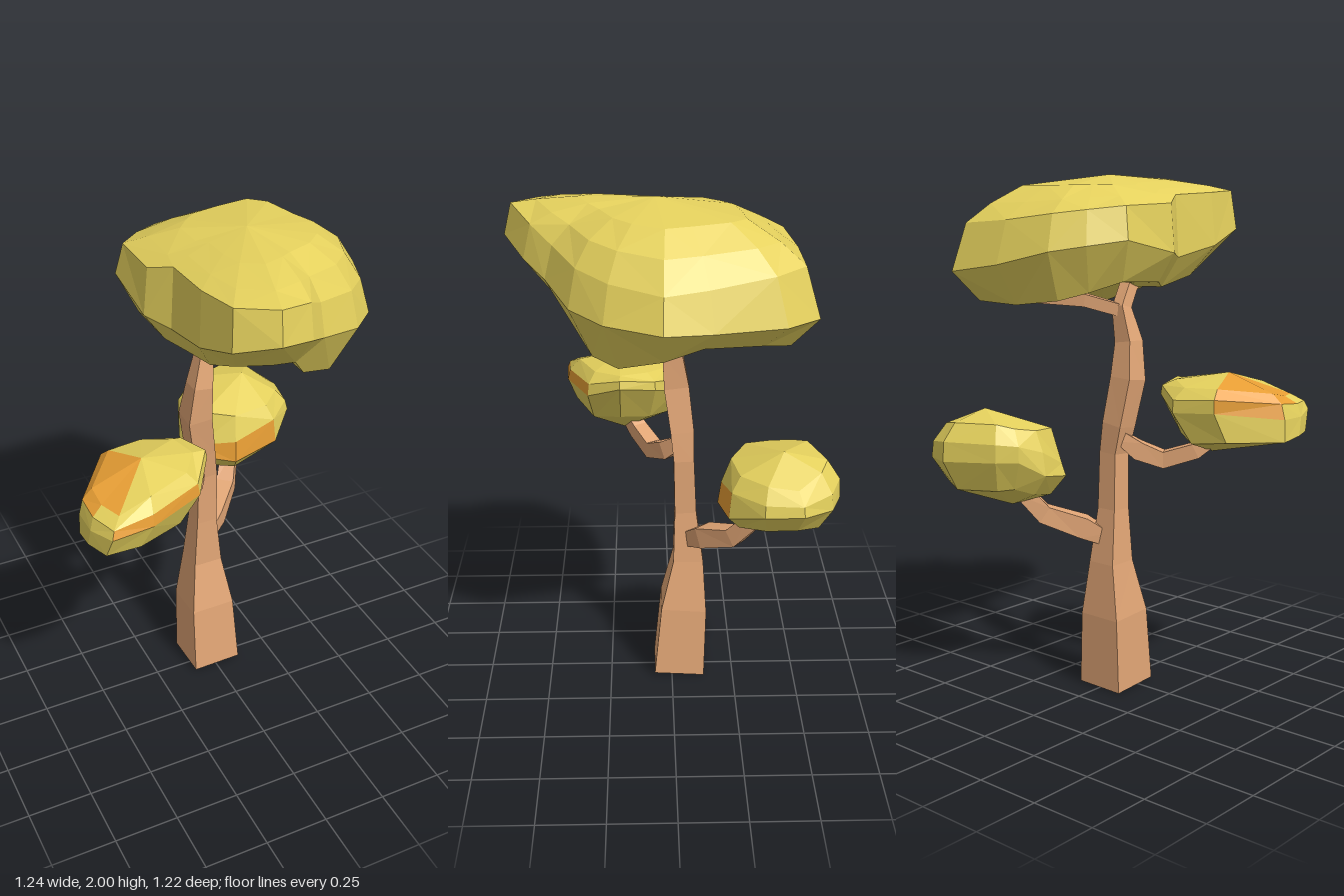
import * as THREE from 'three';

const bark = new THREE.MeshStandardMaterial({ color: 0xe2a676 });
bark.name = 'bark';
const leaf = new THREE.MeshStandardMaterial({ color: 0xe5d15d });
leaf.name = 'leaf';
const autumn = new THREE.MeshStandardMaterial({ color: 0xeda236 });
autumn.name = 'autumn leaf';

// Faceted surface through rings ordered from bottom to top; a ring may be a single point.
// accent(row, column) picks the quads that take the second material.
function loft(name, rings, materials, accent = () => false) {
  const n = Math.max(...rings.map((r) => r.length));
  const at = (j, i) => rings[j][i % rings[j].length];
  const faces = [[], []];
  for (let j = 0; j < rings.length - 1; j++) {
    for (let i = 0; i < n; i++) {
      const a = at(j, i), b = at(j + 1, i), c = at(j + 1, i + 1), d = at(j, i + 1);
      const tris = (i + j) % 2 ? [[a, b, c], [a, c, d]] : [[a, b, d], [b, c, d]];
      for (const t of tris) {
        if (t[0] === t[1] || t[1] === t[2] || t[0] === t[2]) continue;
        faces[accent(j, i) ? 1 : 0].push(...t);
      }
    }
  }
  const geometry = new THREE.BufferGeometry().setFromPoints([...faces[0], ...faces[1]]);
  geometry.addGroup(0, faces[0].length, 0);
  if (faces[1].length) geometry.addGroup(faces[0].length, faces[1].length, 1);
  geometry.computeVertexNormals();
  const mesh = new THREE.Mesh(geometry, materials);
  mesh.name = name;
  return mesh;
}

// Four-sided limb along [x, y, z, radius] stations
function limb(name, stations, ref) {
  const pts = stations.map(([x, y, z]) => new THREE.Vector3(x, y, z));
  const last = pts.length - 1;
  const rings = pts.map((p, j) => {
    const t = pts[Math.min(j + 1, last)].clone().sub(pts[Math.max(j - 1, 0)]).normalize();
    const u = new THREE.Vector3().crossVectors(ref, t).normalize();
    const v = new THREE.Vector3().crossVectors(t, u);
    return [0, 1, 2, 3].map((k) => {
      const a = Math.PI / 4 - (k * Math.PI) / 2, r = stations[j][3];
      return p.clone().addScaledVector(u, r * Math.cos(a)).addScaledVector(v, r * Math.sin(a));
    });
  });
  return loft(name, [[pts[0]], ...rings, [pts[last]]], [bark]);
}

// Foliage clump: plan outline [x, z, ...heights], rings shrunk about the centre.
// levels: [scale, height function of an outline row, sideways shift]
function clump(name, outline, [cx, cz], bottom, top, levels, accent) {
  const rings = levels.map(([s, height, shift = 0], j) => outline.map((row, i) => {
    const wobble = s === 1 ? 0 : Math.sin(i * 12.9 + j * 7.3);
    const k = s + 0.03 * wobble;
    return new THREE.Vector3(cx + shift + (row[0] - cx) * k, height(row) + 0.012 * wobble, cz + (row[1] - cz) * k);
  }));
  const ends = [bottom, top].map((p) => [new THREE.Vector3(...p)]);
  return loft(name, [ends[0], ...rings, ends[1]], [leaf, autumn], accent);
}

export function createModel() {
  const group = new THREE.Group();
  group.name = 'tree';
  const up = new THREE.Vector3(0, 1, 0), forward = new THREE.Vector3(0, 0, 1);

  // Trunk, bending forward into the hollow of the crown
  group.add(limb('trunk', [
    [0, 0.008, -0.03, 0.142], [-0.006, 0.3, -0.048, 0.128], [-0.006, 0.51, -0.066, 0.084],
    [-0.008, 0.72, -0.055, 0.06], [-0.006, 0.94, -0.048, 0.056], [-0.025, 1.05, -0.042, 0.064],
    [-0.053, 1.23, -0.02, 0.068], [-0.043, 1.37, -0.004, 0.054], [-0.017, 1.5, -0.015, 0.038],
    [-0.005, 1.58, 0.04, 0.036], [0, 1.7, 0.19, 0.032],
  ], forward));

  // Branches
  group.add(limb('leftBranch', [
    [0.01, 0.6, -0.07, 0.04], [0.08, 0.645, -0.13, 0.058], [0.19, 0.7, -0.24, 0.05], [0.25, 0.82, -0.33, 0.045],
  ], up));
  group.add(limb('rightBranch', [
    [-0.025, 1.01, -0.05, 0.035], [-0.08, 0.95, 0.01, 0.05], [-0.16, 0.915, 0.07, 0.045],
    [-0.27, 0.955, 0.13, 0.042], [-0.34, 1.02, 0.18, 0.036],
  ], up));
  group.add(limb('crownBranch', [
    [-0.01, 1.49, -0.02, 0.033], [0.1, 1.525, -0.09, 0.034], [0.26, 1.535, -0.17, 0.034], [0.42, 1.58, -0.22, 0.03],
  ], up));

  // Crown: x, z, low, middle and shoulder heights
  const crown = [
    [-0.26, -0.26, 1.6, 1.76, 1.88], [-0.16, -0.37, 1.56, 1.74, 1.87], [-0.05, -0.45, 1.53, 1.72, 1.86],
    [0.17, -0.49, 1.51, 1.67, 1.84], [0.4, -0.5, 1.52, 1.64, 1.83], [0.5, -0.38, 1.55, 1.64, 1.82],
    [0.56, -0.13, 1.56, 1.64, 1.79], [0.61, 0.04, 1.53, 1.65, 1.78], [0.52, 0.24, 1.485, 1.66, 1.8],
    [0.4, 0.36, 1.5, 1.68, 1.82], [0.21, 0.45, 1.56, 1.73, 1.85], [0.12, 0.53, 1.65, 1.78, 1.9],
    [-0.04, 0.61, 1.7, 1.83, 1.94], [-0.17, 0.51, 1.68, 1.79, 1.93], [-0.2, 0.33, 1.62, 1.73, 1.92],
    [-0.2, 0.1, 1.58, 1.69, 1.91], [-0.26, 0, 1.6, 1.71, 1.88],
  ];
  group.add(clump('crown', crown, [0.13, 0.02], [0.1, 1.605, 0.03], [0.11, 2, 0.06], [
    [0.48, (r) => 0.45 + r[2] * 0.72], [0.8, (r) => r[2]], [1, (r) => r[3]], [0.93, (r) => r[4]],
    [0.76, (r) => 1.92 + (r[4] - 1.87) * 0.5], [0.52, (r) => 1.965 + (r[4] - 1.87) * 0.25],
  ]));

  // Lower clump on the left: x, z, low, middle, band and shoulder heights; autumn patch in front
  const lower = [
    [0.08, -0.48, 0.84, 0.95, 1.0, 1.07], [0.14, -0.54, 0.83, 0.95, 1.01, 1.09], [0.35, -0.61, 0.82, 0.94, 1.01, 1.09],
    [0.46, -0.57, 0.84, 0.94, 1.0, 1.08], [0.54, -0.46, 0.86, 0.95, 0.99, 1.04], [0.52, -0.32, 0.85, 0.94, 0.99, 1.05],
    [0.4, -0.2, 0.82, 0.88, 0.99, 1.05], [0.2, -0.17, 0.785, 0.85, 0.95, 1.05], [0.06, -0.25, 0.79, 0.87, 0.93, 1.06],
    [0.04, -0.38, 0.81, 0.89, 0.99, 1.06],
  ];
  group.add(clump('leftClump', lower, [0.28, -0.38], [0.25, 0.748, -0.35], [0.34, 1.12, -0.4], [
    [0.75, (r) => r[2]], [1, (r) => r[3]], [0.97, (r) => r[4]], [0.8, (r) => r[5]],
  ], (j, i) => j === 2 && (i === 6 || i === 7)));

  // Higher clump on the right, with an autumn band in front and a patch on top
  const upper = [
    [-0.45, 0, 1.02, 1.13, 1.17, 1.215], [-0.28, -0.03, 1.0, 1.12, 1.16, 1.215], [-0.15, 0.06, 1.02, 1.17, 1.2, 1.235],
    [-0.11, 0.2, 1.03, 1.19, 1.22, 1.235], [-0.2, 0.33, 1.0, 1.13, 1.18, 1.23], [-0.42, 0.42, 1.01, 1.12, 1.17, 1.225],
    [-0.58, 0.43, 1.02, 1.115, 1.155, 1.185], [-0.62, 0.32, 1.02, 1.1, 1.16, 1.185], [-0.62, 0.21, 1.01, 1.1, 1.17, 1.2],
  ];
  group.add(clump('rightClump', upper, [-0.37, 0.2], [-0.31, 0.95, 0.18], [-0.37, 1.26, 0.2], [
    [0.82, (r) => r[2], -0.045], [1, (r) => r[3]], [0.97, (r) => r[4]], [0.8, (r) => r[5]],
  ], (j, i) => (j === 2 && (i === 4 || i === 5 || i === 8)) || (j === 3 && i >= 7) || (j === 4 && i >= 6)));

  return group;
}
